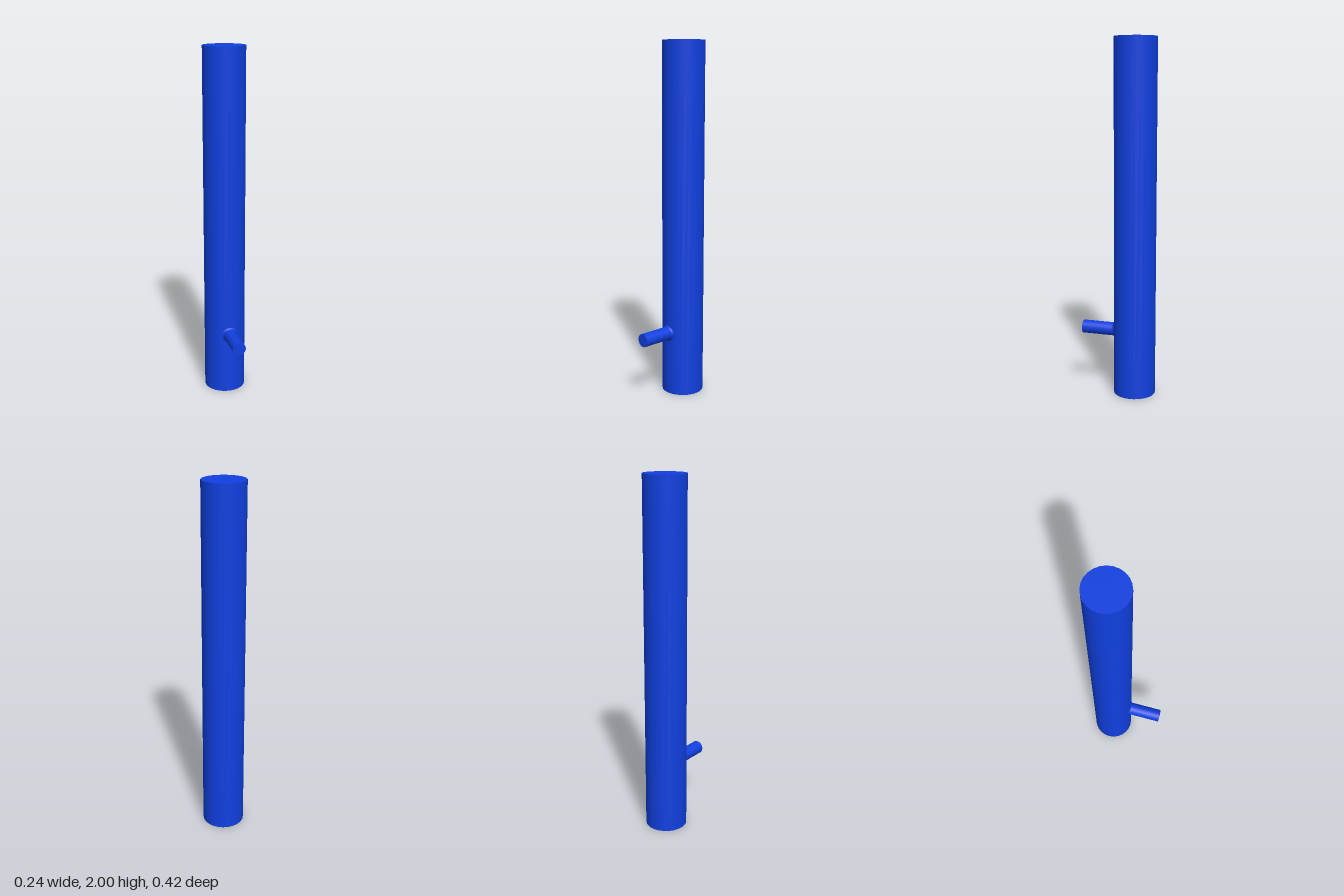
import * as THREE from 'three';

const SIDES = 24;
const POST = { radius: 0.118, height: 2, z: -0.094 };
const PEG = { radius: 0.0375, y: 0.363, tipZ: 0.212 };

export function createModel() {
  const group = new THREE.Group();
  const blue = new THREE.MeshStandardMaterial({ color: 0x1040e0 });
  const add = (name, geometry, x, y, z) => {
    const mesh = new THREE.Mesh(geometry, blue);
    mesh.name = name;
    mesh.position.set(x, y, z);
    group.add(mesh);
  };

  // Tall round post
  add('post', new THREE.CylinderGeometry(POST.radius, POST.radius, POST.height, SIDES),
    0, POST.height / 2, POST.z);

  // Peg sticking out of the front, rooted just inside the post
  const rootZ = 0;
  const length = PEG.tipZ - rootZ;
  const peg = new THREE.CylinderGeometry(PEG.radius, PEG.radius, length, SIDES).rotateX(Math.PI / 2);
  add('peg', peg, 0, PEG.y, rootZ + length / 2);

  // Concave fillet whose rings bend to follow the round face of the post
  const fillet = 0.011;
  const profile = [];
  for (let i = 0; i <= 5; i++) {
    const a = (i / 5) * Math.PI / 2;
    profile.push(new THREE.Vector2(
      PEG.radius + fillet * (1 - Math.sin(a)),
      fillet * (1 - Math.cos(a))));
  }
  const collar = new THREE.LatheGeometry(profile, SIDES).rotateX(Math.PI / 2);
  const p = collar.attributes.position;
  for (let i = 0; i < p.count; i++) {
    const x = p.getX(i);
    p.setZ(i, p.getZ(i) + Math.sqrt(POST.radius ** 2 - x * x));
  }
  add('pegFillet', collar, 0, PEG.y, POST.z);

  return group;
}
